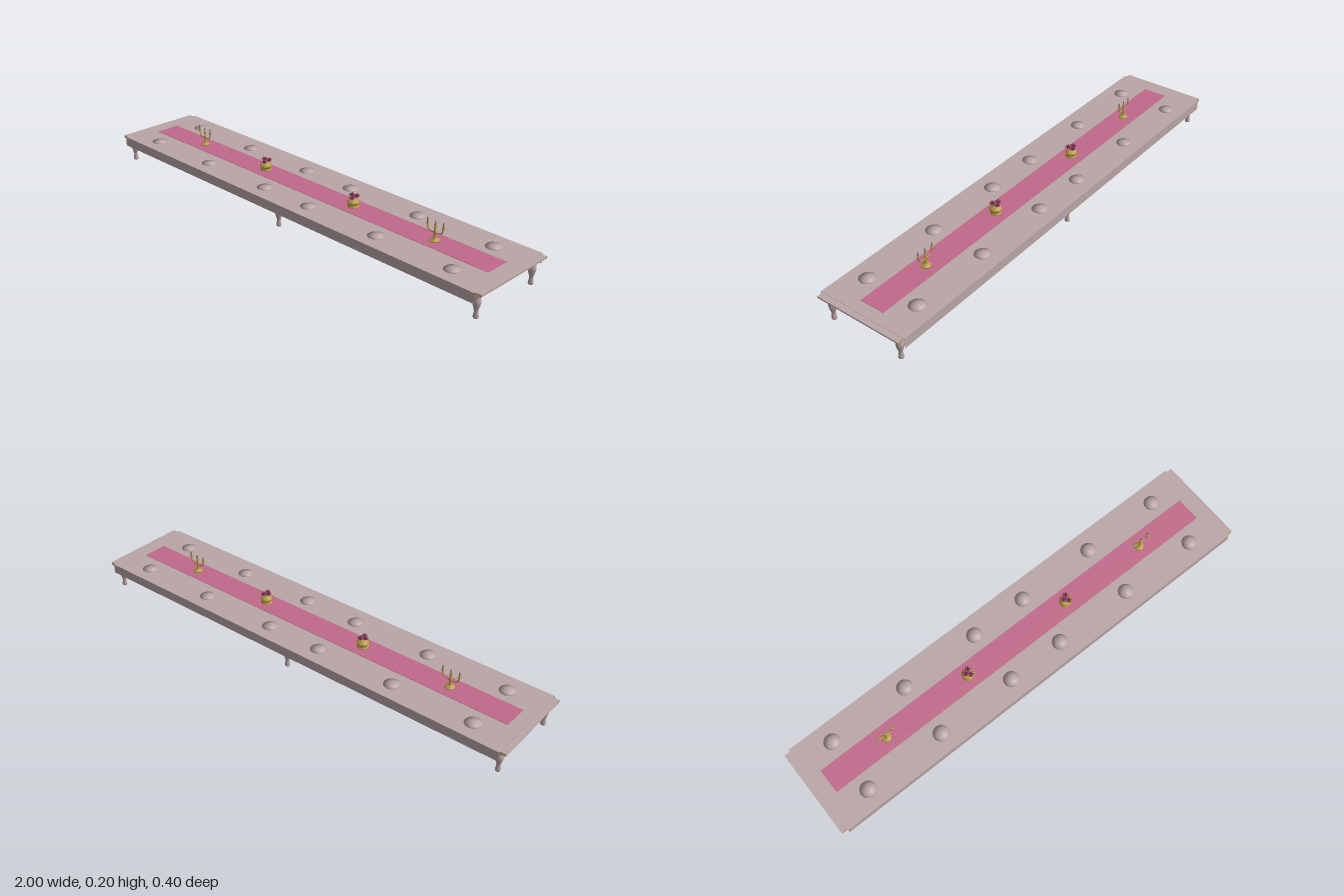
import * as THREE from 'three';
import { RoundedBoxGeometry } from 'three/addons/geometries/RoundedBoxGeometry.js';

const V = (x, y, z = 0) => new THREE.Vector3(x, y, z);

export function createModel() {
  const root = new THREE.Group();
  const mat = (name, color, side = THREE.FrontSide) => {
    const m = new THREE.MeshStandardMaterial({ color, side });
    m.name = name;
    return m;
  };
  const linen = mat('taupe linen', 0xbaa6a7);
  const cloth = mat('taupe cloth', 0xbaa6a7, THREE.DoubleSide);
  const pink = mat('rose runner', 0xc0698a);
  const gold = mat('gold', 0xb89a4a, THREE.DoubleSide);
  const wine = mat('wine petals', 0x8a3a5c, THREE.DoubleSide);
  const wax = mat('grey wax', 0x8f8384);

  const add = (parent, name, geo, material, x = 0, y = 0, z = 0) => {
    const m = new THREE.Mesh(geo, material);
    m.name = name;
    m.position.set(x, y, z);
    parent.add(m);
    return m;
  };
  const lathe = (pts, seg = 16) => new THREE.LatheGeometry(pts.map(p => new THREE.Vector2(...p)), seg);
  const group = (name, x, y, z) => {
    const g = new THREE.Group();
    g.name = name;
    g.position.set(x, y, z);
    root.add(g);
    return g;
  };

  // Table top, gold trim and apron
  add(root, 'tableTop', new THREE.BoxGeometry(2, 0.006, 0.38), linen, 0, 0.11, 0);
  add(root, 'goldTrim', new THREE.BoxGeometry(1.994, 0.004, 0.384), gold, 0, 0.105, 0);
  add(root, 'apron', new RoundedBoxGeometry(1.95, 0.016, 0.354, 3, 0.006), linen, 0, 0.098, 0);

  // Cloth with hanging front and back
  add(root, 'clothTop', new THREE.BoxGeometry(1.95, 0.001, 0.396), linen, 0, 0.1135, 0);
  for (const s of [-1, 1]) {
    add(root, 'clothDrop', new THREE.BoxGeometry(1.95, 0.041, 0.001), cloth, 0, 0.0935, s * 0.1975);
  }
  add(root, 'runner', new THREE.BoxGeometry(1.85, 0.0015, 0.107), pink, 0, 0.1145, 0);

  // Turned legs
  const legGeo = lathe([[0, 0], [0.009, 0], [0.0105, 0.004], [0.0095, 0.012], [0.0075, 0.024], [0.0085, 0.032],
    [0.0125, 0.046], [0.0155, 0.058], [0.0155, 0.066], [0.0125, 0.077], [0.0115, 0.084], [0.0135, 0.093], [0, 0.093]]);
  for (const x of [-0.962, 0, 0.962]) {
    for (const z of [-0.161, 0.161]) add(root, 'leg', legGeo, linen, x, 0, z);
  }

  // Low domed plates: flattened hemispheres that keep their round normals
  const plateGeo = new THREE.SphereGeometry(0.034, 20, 8, 0, Math.PI * 2, 0, Math.PI / 2);
  const pp = plateGeo.attributes.position;
  for (let i = 0; i < pp.count; i++) pp.setY(i, pp.getY(i) * 0.03);
  for (const x of [0.125, 0.475, 0.825]) {
    for (const sx of [-1, 1]) for (const z of [-0.119, 0.119]) add(root, 'plate', plateGeo, linen, sx * x, 0.114, z);
  }

  // Three-armed candelabra
  const stemGeo = lathe([[0, 0], [0.021, 0], [0.02, 0.004], [0.009, 0.008], [0.005, 0.014], [0.0045, 0.028],
    [0.007, 0.034], [0.004, 0.04], [0.0035, 0.052], [0, 0.054]], 12);
  const cupGeo = lathe([[0, 0], [0.003, 0.001], [0.007, 0.006], [0.006, 0.008], [0, 0.008]], 10);
  const armCurve = s => new THREE.CatmullRomCurve3([V(0, 0.036), V(s * 0.014, 0.033), V(s * 0.029, 0.038), V(s * 0.036, 0.056)]);
  for (const x of [-0.65, 0.65]) {
    const g = group('candelabra', x, 0.115, 0);
    add(g, 'stem', stemGeo, gold);
    for (const s of [-1, 1]) add(g, 'arm', new THREE.TubeGeometry(armCurve(s), 12, 0.0028, 6), gold);
    for (const cx of [-0.036, 0, 0.036]) {
      const y = cx ? 0.055 : 0.051;
      add(g, 'cup', cupGeo, gold, cx, y);
      add(g, 'candle', new THREE.CylinderGeometry(0.0026, 0.003, 0.019, 8), wax, cx, y + 0.017);
      add(g, 'wick', new THREE.ConeGeometry(0.0014, 0.005, 6), wax, cx, y + 0.0285);
    }
  }

  // Gold bowls with pointed leaves and wine-coloured blossoms
  const bowlGeo = lathe([[0, 0], [0.022, 0], [0.024, 0.004], [0.016, 0.009], [0.022, 0.014], [0.026, 0.021],
    [0.02, 0.024], [0.008, 0.034], [0, 0.036]], 16);
  const leafGeo = new THREE.ConeGeometry(0.006, 0.02, 4).scale(1, 1, 0.4).translate(0, 0.01, 0);
  const petalGeo = new THREE.SphereGeometry(0.006, 8, 6).scale(0.75, 1.3, 0.3).translate(0, 0.006, 0);
  // Place a ring of copies leaning outwards
  const ring = (parent, name, geo, material, n, radius, y, lean, cx = 0, cz = 0) => {
    for (let i = 0; i < n; i++) {
      const a = (i / n) * Math.PI * 2;
      const m = add(parent, name, geo, material, cx + Math.sin(a) * radius, y, cz + Math.cos(a) * radius);
      m.rotation.set(lean, a, 0, 'YXZ');
    }
  };
  for (const x of [-0.25, 0.25]) {
    const g = group('flowerBowl', x, 0.115, 0);
    add(g, 'bowl', bowlGeo, gold);
    ring(g, 'leaf', leafGeo, gold, 10, 0.017, 0.01, 0.65);
    for (let i = 0; i < 3; i++) {
      const a = i * Math.PI * 2 / 3 + 0.4;
      const fx = Math.sin(a) * 0.011, fz = Math.cos(a) * 0.014, fy = 0.036 + i * 0.002;
      add(g, 'flowerStem', new THREE.TubeGeometry(
        new THREE.LineCurve3(V(0, 0.022), V(fx, fy, fz)), 1, 0.0022, 5), gold);
      ring(g, 'petal', petalGeo, wine, 6, 0.002, fy, 0.95, fx, fz);
      ring(g, 'innerPetal', petalGeo, wine, 4, 0.001, fy + 0.002, 0.35, fx, fz);
    }
  }
  return root;
}
